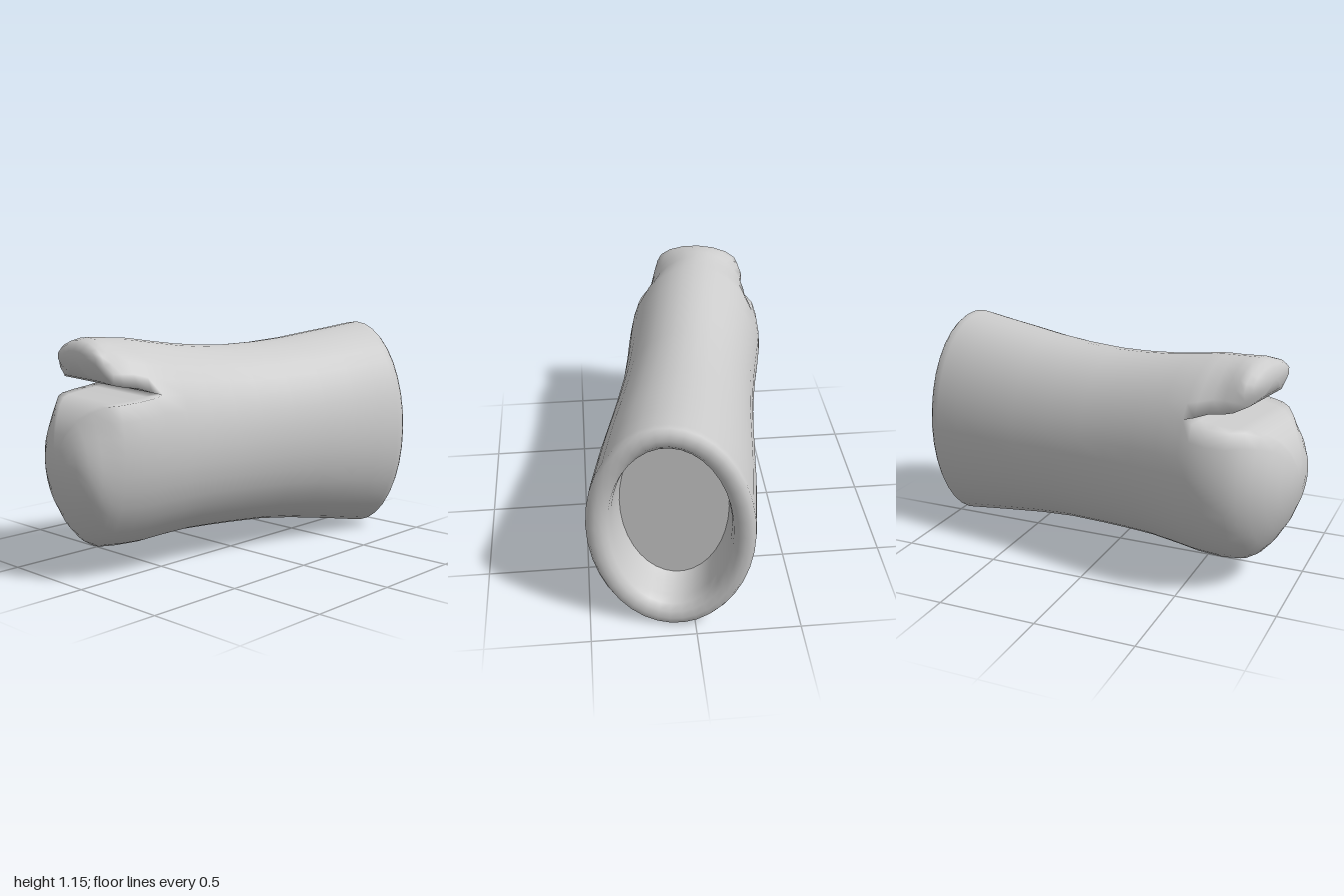
import * as THREE from 'three';
import { mergeVertices } from 'three/addons/utils/BufferGeometryUtils.js';

const UPPER = 12, LOWER = 24, CHORD = 8;   // segments of upper arc, lower arc, slit chord
const SPLIT = 0.515;                       // height of the slit as a fraction of the section

// Points of an elliptical section [w, cx, cy, hw, hh, k], k being the slit height.
function arc([w, cx, cy, hw, hh, k = SPLIT], upper) {
  const a = Math.asin(k);
  const from = upper ? a : Math.PI - a;
  const to = upper ? Math.PI - a : 2 * Math.PI + a;
  const n = upper ? UPPER : LOWER;
  return Array.from({ length: n + 1 }, (_, i) => {
    const t = from + (to - from) * i / n;
    return new THREE.Vector3(cx + hw * Math.cos(t), cy + hh * Math.sin(t), w);
  });
}

// Whole section, counter-clockwise
const fullRing = s => [...arc(s, true).slice(0, -1), ...arc(s, false).slice(0, -1)];

// Section of one lobe: its arc closed by a straight chord along the slit
function lobeRing(s, upper) {
  const pts = arc(s, upper);
  const start = pts[0], end = pts[pts.length - 1];
  for (let i = 1; i < CHORD; i++) pts.push(end.clone().lerp(start, i / CHORD));
  return pts;
}

// Skin consecutive rings with triangles, optionally closing onto a tip point
function loft(rings, out, tip) {
  const n = rings[0].length;
  const tri = (...p) => p.forEach(v => out.push(v.x, v.y, v.z));
  for (let i = 0; i + 1 < rings.length; i++) {
    for (let j = 0; j < n; j++) {
      const a = rings[i][j], b = rings[i][(j + 1) % n];
      const c = rings[i + 1][j], d = rings[i + 1][(j + 1) % n];
      tri(a, b, d);
      tri(a, d, c);
    }
  }
  if (tip) {
    const last = rings[rings.length - 1];
    for (let j = 0; j < n; j++) tri(last[j], last[(j + 1) % n], tip);
  }
}

function makeMesh(name, positions) {
  let geo = new THREE.BufferGeometry();
  geo.setAttribute('position', new THREE.Float32BufferAttribute(positions, 3));
  geo = mergeVertices(geo, 1e-4);
  geo.computeVertexNormals();
  const mesh = new THREE.Mesh(geo, new THREE.MeshStandardMaterial({ color: 0xcccccc }));
  mesh.name = name;
  return mesh;
}

export function createModel() {
  const group = new THREE.Group();
  group.name = 'slittedSleeve';

  // Recess wall, rounded rim, then the waisted sleeve up to the slit
  const body = [
    [-0.74, 0, 0.58, 0.255, 0.425],
    [-0.80, 0, 0.58, 0.268, 0.440],
    [-0.88, 0, 0.58, 0.275, 0.450],
    [-0.92, 0, 0.578, 0.285, 0.462],
    [-0.944, 0, 0.576, 0.308, 0.490],
    [-0.952, 0, 0.575, 0.340, 0.525],
    [-0.945, 0, 0.575, 0.370, 0.560],
    [-0.925, 0, 0.575, 0.385, 0.574],
    [-0.89, 0, 0.576, 0.386, 0.569],
    [-0.75, 0, 0.580, 0.383, 0.547],
    [-0.60, 0, 0.585, 0.378, 0.525],
    [-0.40, 0, 0.590, 0.366, 0.496],
    [-0.20, 0, 0.595, 0.354, 0.476],
    [0.00, 0, 0.598, 0.346, 0.468],
    [0.15, 0, 0.604, 0.346, 0.468],
    [0.30, 0, 0.612, 0.350, 0.473],
    [0.45, 0, 0.618, 0.358, 0.488],
    [0.57, 0, 0.622, 0.362, 0.503],
  ];
  const split = body[body.length - 1];

  // Large rounded lobe below the slit
  const lower = [
    split,
    [0.62, 0, 0.622, 0.362, 0.503, 0.49],
    [0.70, 0, 0.618, 0.354, 0.498, 0.48],
    [0.79, 0.01, 0.605, 0.330, 0.475, 0.51],
    [0.84, 0.02, 0.580, 0.302, 0.420, 0.62],
    [0.89, 0.03, 0.555, 0.272, 0.338, 0.76],
    [0.94, 0.045, 0.550, 0.225, 0.245, 0.88],
    [0.975, 0.055, 0.555, 0.160, 0.160, 0.92],
    [0.995, 0.06, 0.560, 0.080, 0.080, 0.92],
  ];

  // Thin lip above the slit
  const upper = [
    split,
    [0.62, 0, 0.628, 0.348, 0.502, 0.53],
    [0.68, 0, 0.660, 0.318, 0.473, 0.54],
    [0.74, 0, 0.830, 0.270, 0.307, 0.30],
    [0.79, 0, 0.960, 0.245, 0.179, -0.15],
    [0.83, 0.005, 1.020, 0.225, 0.108, -0.65],
    [0.855, 0.01, 1.040, 0.190, 0.070, -0.88],
    [0.868, 0.015, 1.045, 0.120, 0.035, -0.9],
  ];

  // Sleeve and both lobes share one smooth skin
  const skin = [];
  loft(body.map(fullRing), skin);
  loft(lower.map(s => lobeRing(s, false)), skin, new THREE.Vector3(0.06, 0.56, 1.0));
  loft(upper.map(s => lobeRing(s, true)), skin, new THREE.Vector3(0.015, 1.045, 0.872));
  group.add(makeMesh('sleeveBody', skin));

  // Flat floor of the rear recess, facing backwards
  const floor = [];
  loft([fullRing(body[0]).reverse()], floor, new THREE.Vector3(0, 0.58, -0.74));
  group.add(makeMesh('recessFloor', floor));

  // The sleeve points slightly off the front axis
  group.rotation.y = -0.18;
  group.position.x = -0.05;
  const root = new THREE.Group();
  root.name = 'model';
  root.add(group);
  return root;
}
